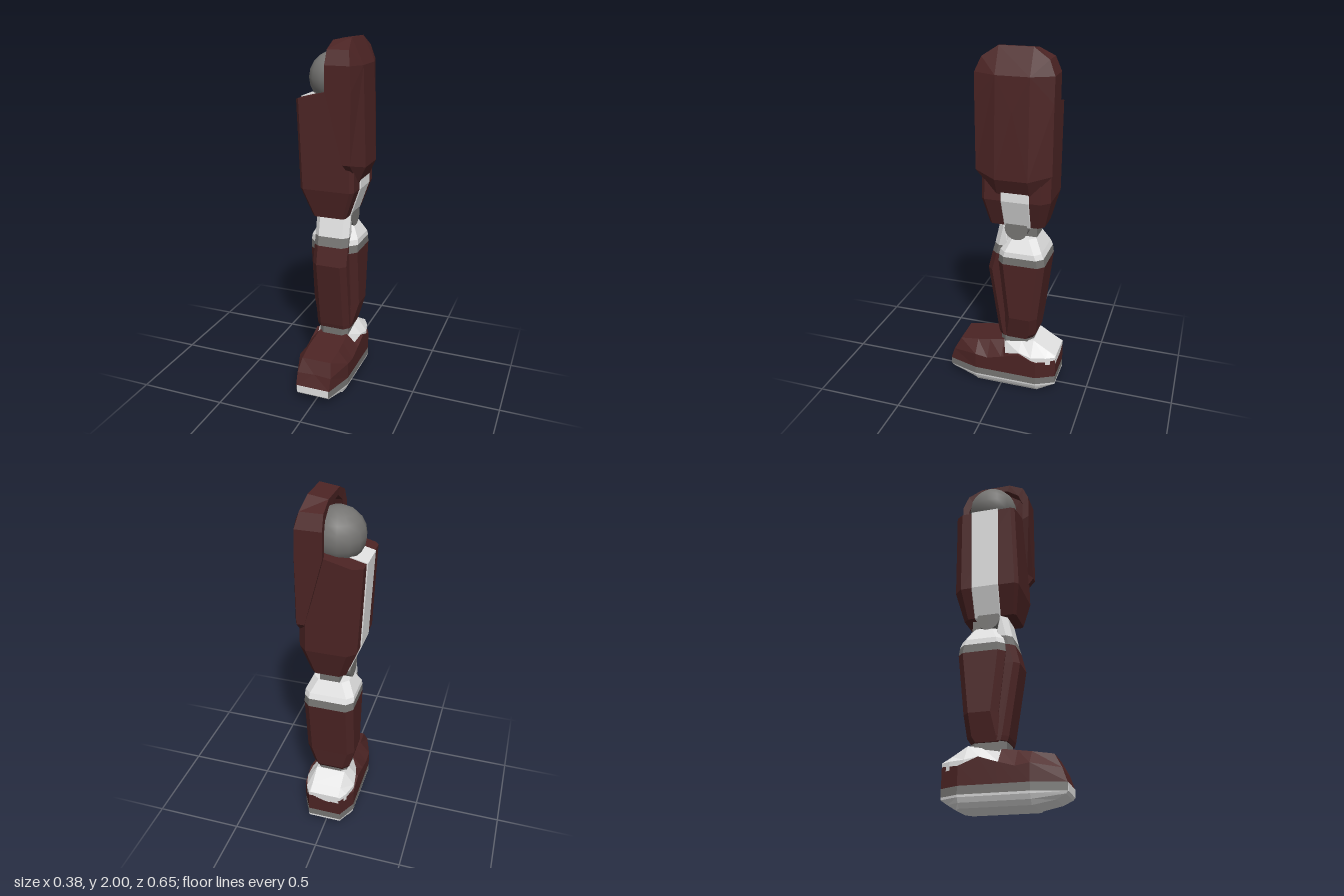
import * as THREE from 'three';

const maroon = new THREE.MeshStandardMaterial({ color: 0x4c2424 });
const white = new THREE.MeshStandardMaterial({ color: 0xe2e2e2 });
const grey = new THREE.MeshStandardMaterial({ color: 0x757472 });
maroon.name = 'maroon armour';
white.name = 'white frame';
grey.name = 'grey joint';

// Faceted solid through rings of equal point count, capped at both ends
function loft(rings) {
  const tris = [], n = rings[0].length;
  const centre = r => [0, 1, 2].map(k => r.reduce((s, p) => s + p[k], 0) / n);
  for (let i = 0; i < rings.length - 1; i++) {
    for (let j = 0; j < n; j++) {
      const k = (j + 1) % n, a = rings[i], b = rings[i + 1];
      tris.push([a[j], a[k], b[k]], [a[j], b[k], b[j]]);
    }
  }
  const first = rings[0], last = rings[rings.length - 1];
  const c0 = centre(first), c1 = centre(last);
  for (let j = 0; j < n; j++) {
    const k = (j + 1) % n;
    tris.push([c0, first[k], first[j]], [c1, last[j], last[k]]);
  }
  // Turn the faces outward if the enclosed volume is negative
  const volume = tris.reduce((s, [a, b, c]) => s
    + a[0] * (b[1] * c[2] - b[2] * c[1])
    + a[1] * (b[2] * c[0] - b[0] * c[2])
    + a[2] * (b[0] * c[1] - b[1] * c[0]), 0);
  if (volume < 0) tris.forEach(t => t.reverse());
  const geometry = new THREE.BufferGeometry();
  geometry.setAttribute('position', new THREE.Float32BufferAttribute(tris.flat(2), 3));
  geometry.computeVertexNormals();
  return geometry;
}

// Horizontal rectangle with cut corners; slope tilts it along x
function slab(y, x0, x1, zf, zb, cf = 0.03, cb = cf, slope = 0) {
  return [
    [x0, zf - cf], [x0 + cf, zf], [x1 - cf, zf], [x1, zf - cf],
    [x1, zb + cb], [x1 - cb, zb], [x0 + cb, zb], [x0, zb + cb],
  ].map(([x, z]) => [x, y + slope * x, z]);
}

// Symmetric foot section: floor, side edge and top ridge, each with its own z
function footSection([z0, hx, y0, z1, y1, z2, tx, y2]) {
  return [[-hx, y0, z0], [-hx, y1, z1], [-tx, y2, z2], [tx, y2, z2], [hx, y1, z1], [hx, y0, z0]];
}

export function createModel() {
  const model = new THREE.Group();
  model.name = 'mechanicalLeg';
  const add = (name, geometry, material, x = 0, y = 0, z = 0) => {
    const mesh = new THREE.Mesh(geometry, material);
    mesh.name = name;
    mesh.position.set(x, y, z);
    model.add(mesh);
    return mesh;
  };

  // Hip ball
  add('hipBall', new THREE.SphereGeometry(0.142, 14, 10), grey, -0.02, 1.785, -0.087);

  // Hip guard: half outline as [dz, y, inner x, edge x], mirrored about its middle
  const half = [
    [0.09, 2.0, 0.003, 0.105], [0.175, 1.945, 0.002, 0.12], [0.208, 1.87, 0, 0.137],
    [0.208, 1.735, 0, 0.142], [0.208, 1.36, 0.1, 0.142], [0.09, 1.235, 0.13, 0.148],
  ];
  const outline = [...half, ...half.map(([d, ...r]) => [-d, ...r]).reverse()];
  const mid = -0.08;
  const inset = (d, y) => [mid + d * 0.82, 1.62 + (y - 1.62) * 0.86];
  const guard = [
    outline.map(([d, y]) => y > 1.6
      ? [0.17, 1.865, mid + Math.sign(d) * 0.09]
      : [0.19, 1.33, mid + Math.sign(d) * 0.09]),
    outline.map(([d, y, , x]) => [x, y, mid + d]),
    outline.map(([d, y, x]) => [x, y > 1.99 ? 1.985 : y, mid + d]),
    outline.map(([d, y, x]) => [x + 0.003, inset(d, y)[1], inset(d, y)[0]]),
    outline.map(([d, y, x]) => [x * 0.6 + 0.06, inset(d, y)[1], inset(d, y)[0]]),
  ];
  add('hipGuard', loft(guard), maroon);

  // Thigh armour with a white core showing down both sides and on top
  add('thighArmour', loft([
    slab(1.04, -0.095, 0.095, 0.07, -0.235, 0.015, 0.03),
    slab(1.2, -0.16, 0.15, 0.1, -0.275, 0.02, 0.045),
    slab(1.73, -0.185, 0.14, 0.085, -0.272, 0.02, 0.045, 0.26),
  ]), maroon);
  add('thighCore', loft([
    slab(1.038, -0.1, 0.1, -0.015, -0.165, 0.004),
    slab(1.2, -0.166, 0.156, -0.012, -0.168, 0.004),
    slab(1.735, -0.191, 0.14, -0.01, -0.17, 0.004, 0.004, 0.26),
  ]), white);

  // Knee joint
  const pin = new THREE.CylinderGeometry(0.065, 0.065, 0.21, 16).rotateZ(Math.PI / 2);
  add('kneePin', pin, grey, 0, 1.025, -0.085);
  add('kneeBlock', new THREE.BoxGeometry(0.11, 0.12, 0.17), grey, 0, 1.0, -0.105);

  // Shin body in colour bands
  const shin = (y, hx, zf, zb) => slab(y, -hx, hx, zf, zb, 0.035);
  const shinTop = shin(0.865, 0.14, 0.012, -0.243), shinBand = shin(0.82, 0.14, 0.016, -0.25);
  add('shinCollar', loft([
    shinTop, shin(0.895, 0.138, 0.005, -0.23), shin(0.97, 0.1, -0.03, -0.19),
  ]), white);
  add('shinBand', loft([shinBand, shinTop]), grey);
  add('shinArmour', loft([
    shin(0.33, 0.1, 0.0, -0.18), shin(0.36, 0.108, 0.0, -0.2),
    shin(0.48, 0.14, -0.022, -0.212), shinBand,
  ]), maroon);

  // Raised shin front, rising into the kneecap
  const front = (y, zf, zb = -0.04) => slab(y, -0.1, 0.1, zf, zb, 0.03, 0.005);
  add('kneecap', loft([front(0.915, 0.045), front(1.035, 0.018, -0.022)]), white);
  add('kneecapBand', loft([front(0.862, 0.06), front(0.915, 0.045)]), grey);
  add('shinFront', loft([
    front(0.335, 0.018), front(0.36, 0.025), front(0.755, 0.086), front(0.862, 0.06),
  ]), maroon);

  // Ankle
  add('ankle', loft([
    slab(0.22, -0.09, 0.09, 0.012, -0.185), slab(0.345, -0.088, 0.088, 0.012, -0.185),
  ]), grey);

  // Foot armour from toe to heel
  add('footArmour', loft([
    [0.325, 0.1, 0.105, 0.302, 0.175, 0.262, 0.085, 0.25],
    [0.15, 0.15, 0.105, 0.15, 0.198, 0.15, 0.092, 0.268],
    [0.075, 0.15, 0.105, 0.075, 0.187, 0.075, 0.09, 0.28],
    [-0.01, 0.15, 0.105, -0.01, 0.212, -0.01, 0.085, 0.293],
    [-0.025, 0.15, 0.105, -0.025, 0.216, -0.025, 0.1, 0.216],
    [-0.115, 0.15, 0.105, -0.115, 0.245, -0.115, 0.12, 0.245],
    [-0.22, 0.15, 0.105, -0.22, 0.205, -0.22, 0.1, 0.205],
    [-0.325, 0.095, 0.105, -0.325, 0.216, -0.325, 0.085, 0.216],
  ].map(footSection)), maroon);

  // White heel cover
  add('heelCover', loft([
    [-0.012, 0.11, 0.19, -0.012, 0.215, -0.012, 0.085, 0.29],
    [-0.115, 0.135, 0.19, -0.115, 0.25, -0.115, 0.085, 0.308],
    [-0.19, 0.145, 0.19, -0.19, 0.235, -0.19, 0.085, 0.32],
    [-0.275, 0.122, 0.19, -0.275, 0.235, -0.275, 0.085, 0.268],
    [-0.325, 0.094, 0.19, -0.325, 0.235, -0.325, 0.085, 0.24],
  ].map(footSection)), white);

  // Sole: outline tapering towards toe and heel
  const sole = (y, hx, zf, zb, tip) => [
    [-tip, zf], [tip, zf], [hx, 0.15], [hx, -0.22], [tip, zb], [-tip, zb], [-hx, -0.22], [-hx, 0.15],
  ].map(([x, z]) => [x, y, z]);
  const soleTop = sole(0.062, 0.15, 0.325, -0.325, 0.097);
  add('soleBand', loft([soleTop, sole(0.105, 0.15, 0.325, -0.325, 0.097)]), grey);
  add('sole', loft([
    sole(0, 0.115, 0.16, -0.25, 0.075), sole(0.025, 0.135, 0.265, -0.29, 0.088),
    sole(0.05, 0.148, 0.315, -0.325, 0.095), soleTop,
  ]), white);
  add('toePlate', new THREE.BoxGeometry(0.19, 0.043, 0.006), white, 0, 0.0835, 0.3235);

  return model;
}
